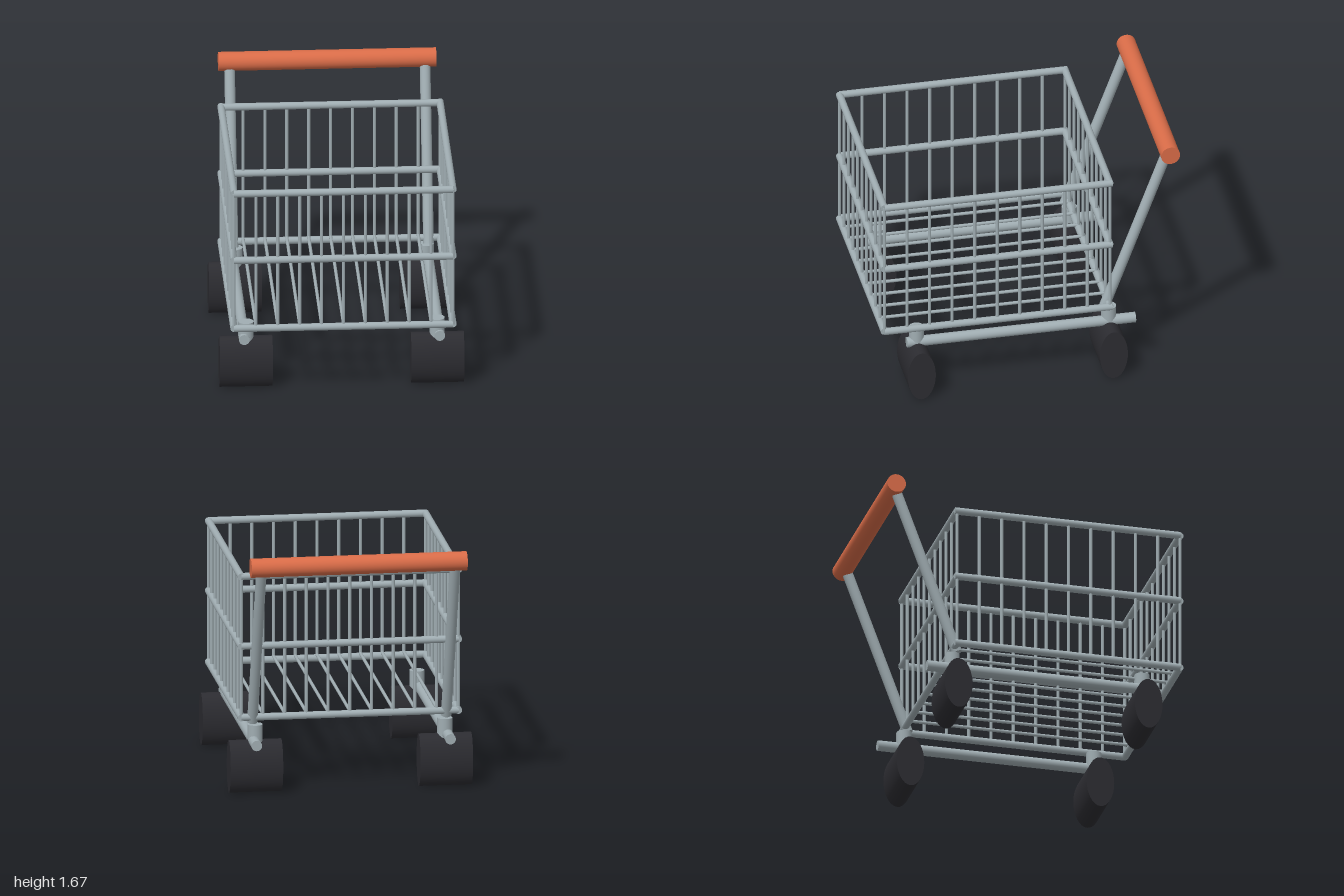
import * as THREE from 'three';

export function createModel() {
  const model = new THREE.Group();
  model.name = 'shoppingCart';

  const mat = (name, color) => {
    const m = new THREE.MeshStandardMaterial({ color });
    m.name = name;
    return m;
  };
  const metal = mat('metal', 0xa0adb2);
  const grip = mat('orangeGrip', 0xd96c48);
  const rubber = mat('darkRubber', 0x2c2c31);

  // Straight round rod between two points
  const up = new THREE.Vector3(0, 1, 0);
  const rod = (name, a, b, radius, material = metal, sides = 16, parent = model) => {
    const p = new THREE.Vector3(...a);
    const d = new THREE.Vector3(...b).sub(p);
    const mesh = new THREE.Mesh(new THREE.CylinderGeometry(radius, radius, d.length(), sides), material);
    mesh.position.copy(p).addScaledVector(d, 0.5);
    mesh.quaternion.setFromUnitVectors(up, d.normalize());
    mesh.name = name;
    parent.add(mesh);
    return mesh;
  };

  // Basket extents
  const X = 0.717, FRONT = 0.976, BACK = -0.53, LOW = 0.5, TOP = 1.45;
  const RAIL = 0.024, WIRE = 0.011, STEPS = 10;
  const basket = new THREE.Group();
  basket.name = 'basket';
  model.add(basket);

  // Three rectangular hoops of rail
  for (const y of [LOW, 0.98, TOP]) {
    for (const z of [FRONT, BACK]) rod('crossRail', [-X, y, z], [X, y, z], RAIL, metal, 16, basket);
    for (const x of [-X, X]) rod('sideRail', [x, y, BACK - 0.015], [x, y, FRONT], RAIL, metal, 16, basket);
  }

  // Upright wires on all four walls, and floor wires running front to back
  for (let i = 0; i <= STEPS; i++) {
    const x = -X + (2 * X * i) / STEPS;
    const z = BACK + ((FRONT - BACK) * i) / STEPS;
    for (const wz of [FRONT, BACK]) rod('wallWire', [x, LOW, wz], [x, TOP, wz], WIRE, metal, 10, basket);
    if (i > 0 && i < STEPS) {
      for (const wx of [-X, X]) rod('sideWire', [wx, LOW, z], [wx, TOP, z], WIRE, metal, 10, basket);
      rod('floorWire', [x, 0.52, BACK], [x, 0.52, FRONT], WIRE, metal, 10, basket);
    }
  }

  // Push handle
  rod('handleGrip', [-0.713, 1.607, -0.937], [0.713, 1.607, -0.937], 0.063, grip, 32);

  for (const s of [-1, 1]) {
    // Sloping handle post and base tube
    rod('handlePost', [s * 0.64, 0.467, -0.51], [s * 0.64, 1.56, -0.915], 0.035, metal, 20);
    rod('baseTube', [s * 0.64, 0.35, -0.715], [s * 0.64, 0.35, 0.812], 0.035, metal, 20);

    // Casters: upright stem and a wide oval wheel
    for (const z of [0.743, -0.54]) {
      rod('casterStem', [s * 0.626, 0.26, z], [s * 0.626, 0.455, z], 0.05, metal, 20);
      const geo = new THREE.CylinderGeometry(0.176, 0.176, 0.347, 32);
      geo.rotateZ(Math.PI / 2).scale(1, 1, 0.53);
      const wheel = new THREE.Mesh(geo, rubber);
      wheel.position.set(s * 0.627, 0.176, z);
      wheel.name = 'wheel';
      model.add(wheel);
    }
  }
  return model;
}
